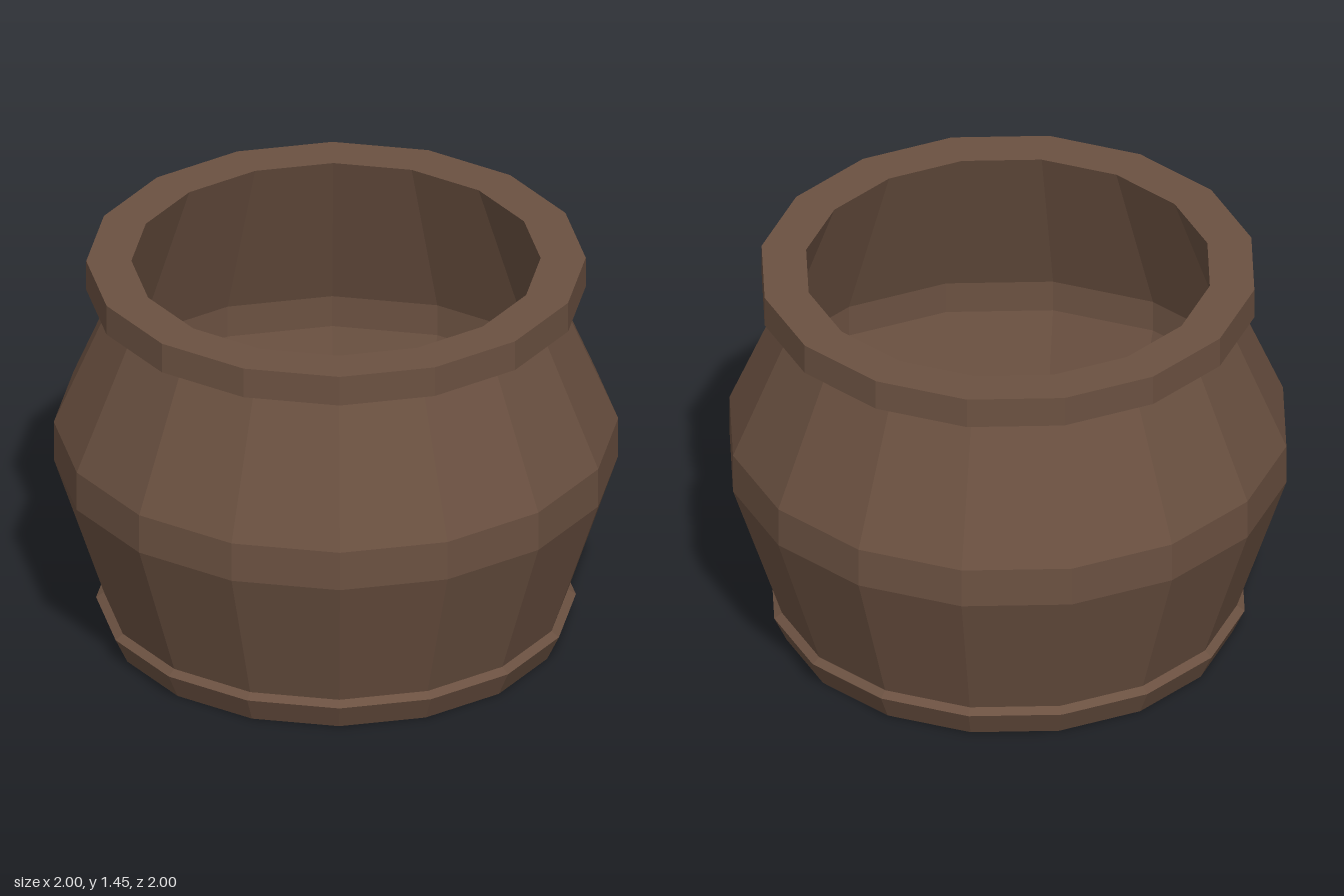
import * as THREE from 'three';

const SIDES = 16;

// Faceted ring or vessel turned from [radius, height] pairs
function turned(name, profile, material) {
  const points = profile.map(([r, y]) => new THREE.Vector2(r, y));
  const geometry = new THREE.LatheGeometry(points, SIDES).toNonIndexed();
  geometry.computeVertexNormals();
  const mesh = new THREE.Mesh(geometry, material);
  mesh.name = name;
  return mesh;
}

export function createModel() {
  const clay = new THREE.MeshStandardMaterial({ color: 0x6b5141 });
  clay.name = 'brown clay';

  const pot = new THREE.Group();
  pot.name = 'pot';

  // Flared foot with a closed underside and a narrow bevelled lip
  pot.add(turned('foot', [[0, 0], [0.805, 0], [0.85, 0.095], [0.822, 0.115]], clay));

  // Bulging outer wall with a straight belly band
  pot.add(turned('outerWall', [[0.822, 0.115], [1, 0.65], [1, 0.8], [0.775, 1.33]], clay));

  // Overhanging square rim
  pot.add(turned('rim', [[0.775, 1.33], [0.885, 1.33], [0.885, 1.445], [0.725, 1.445]], clay));

  // Hollow inside, down to a flat floor
  pot.add(turned('innerWall', [[0.725, 1.445], [0.97, 0.78], [0.97, 0.66], [0.79, 0.1], [0, 0.1]], clay));

  return pot;
}
